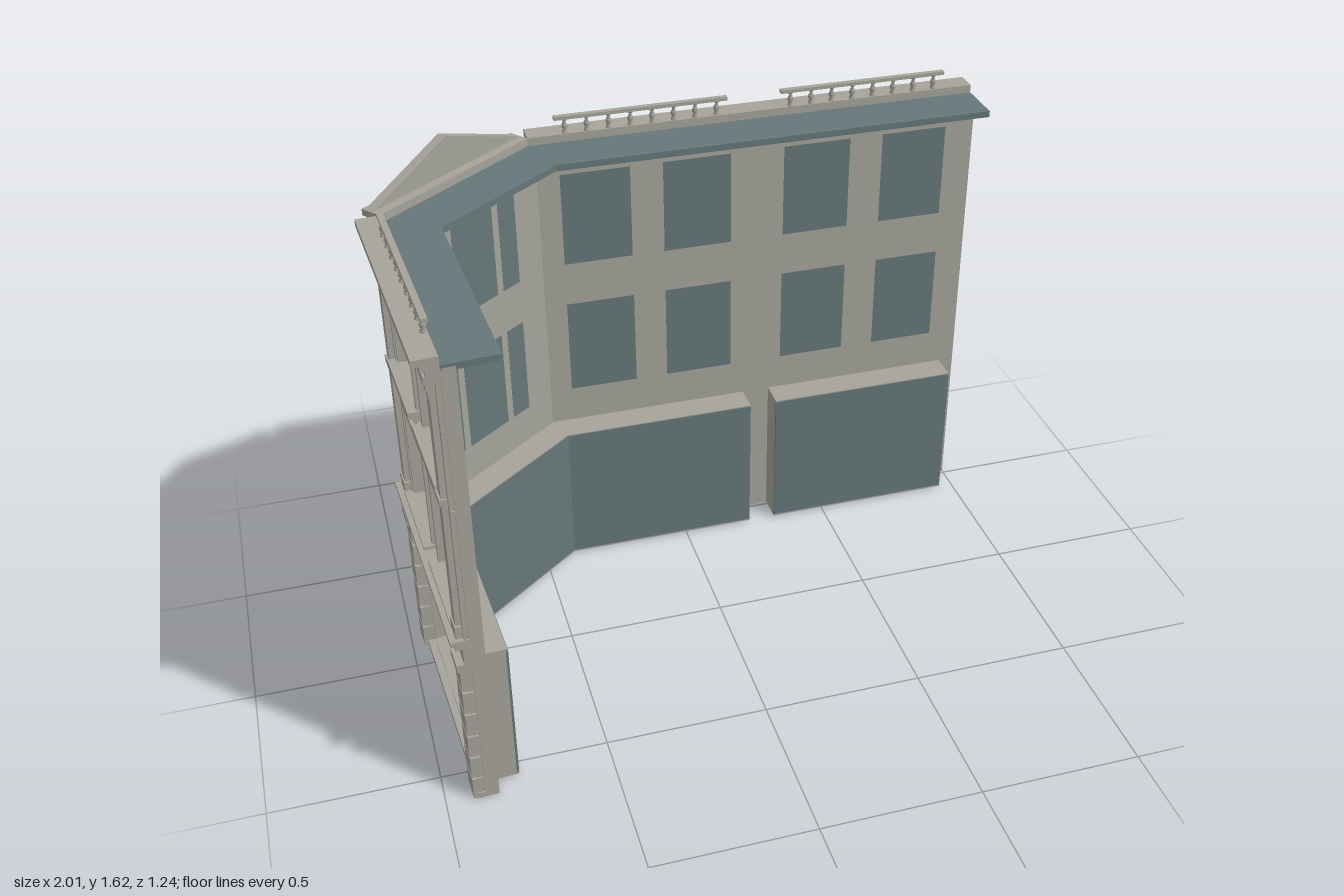
import * as THREE from 'three';

const mat = (name, color) => {
  const m = new THREE.MeshStandardMaterial({ color });
  m.name = name;
  return m;
};

export function createModel() {
  const stone = mat('stone', 0xa5a39a);
  const glass = mat('slate glass', 0x667779);
  const frame = mat('dark window frame', 0x3c4b4e);
  const model = new THREE.Group();
  model.name = 'cornerBuildingFacade';

  // Plan of the outer wall face, long wing to short wing
  const P = [[1, -0.55], [-0.444, -0.55], [-0.933, -0.168], [-0.885, 0.612]];

  const add = (parent, name, geo, m) => {
    const mesh = new THREE.Mesh(geo, m);
    mesh.name = name;
    parent.add(mesh);
    return mesh;
  };

  // Box in wall coordinates: u along, y up, d outward
  const box = (w, name, u0, u1, y0, y1, d0, d1, m = stone) =>
    add(w, name, new THREE.BoxGeometry(u1 - u0, y1 - y0, d1 - d0), m)
      .position.set((u0 + u1) / 2, (y0 + y1) / 2, (d0 + d1) / 2);

  // Mitred strip following a plan path between two offsets
  const offset = (pts, d) => {
    const n = pts.slice(1).map((p, i) => {
      const dx = p[0] - pts[i][0], dz = p[1] - pts[i][1], l = Math.hypot(dx, dz);
      return [-dz / l, dx / l];
    });
    return pts.map((p, i) => {
      const a = n[Math.max(i - 1, 0)], b = n[Math.min(i, n.length - 1)];
      const k = d / (1 + a[0] * b[0] + a[1] * b[1]);
      return new THREE.Vector2(p[0] + (a[0] + b[0]) * k, p[1] + (a[1] + b[1]) * k);
    });
  };
  const strip = (name, pts, y0, y1, d0, d1, m) => {
    const shape = new THREE.Shape([...offset(pts, d0), ...offset(pts, d1).reverse()]);
    const geo = new THREE.ExtrudeGeometry(shape, { depth: y1 - y0, bevelEnabled: false });
    geo.rotateX(Math.PI / 2).translate(0, y1, 0);
    add(model, name, geo, m);
  };

  const rect = (T, u0, u1, y0, y1) => new T([
    new THREE.Vector2(u0, y0), new THREE.Vector2(u1, y0),
    new THREE.Vector2(u1, y1), new THREE.Vector2(u0, y1)]);

  // Glazing bars with a border
  const bars = (w, u0, u1, y0, y1, d, cols, rows, t) => {
    for (let i = 0; i <= cols; i++) {
      const u = u0 + t / 2 + (u1 - u0 - t) * i / cols;
      box(w, 'glazingBar', u - t / 2, u + t / 2, y0, y1, d, d + 0.009, frame);
    }
    for (let j = 0; j <= rows; j++) {
      const y = y0 + t / 2 + (y1 - y0 - t) * j / rows;
      box(w, 'glazingBar', u0, u1, y - t / 2, y + t / 2, d, d + 0.008, frame);
    }
  };

  const floors = [[0.61, 0.93], [1.075, 1.385]];
  const shopY = [0.025, 0.475];

  // Ground-floor pier of stacked blocks, with a pilaster above it
  const pier = (w, c, width) => {
    const h = width / 2;
    box(w, 'pierCore', c - h + 0.006, c + h - 0.006, 0, 0.49, 0, 0.02);
    for (let i = 0; i < 6; i++)
      box(w, 'pierBlock', c - h, c + h, i * 0.083, i * 0.083 + 0.074, 0, 0.034);
    box(w, 'pierCapital', c - h - 0.004, c + h + 0.004, 0.49, 0.515, 0, 0.042);
    box(w, 'pilasterBack', c - h, c + h, 0.6, 1.44, 0, 0.014);
    box(w, 'pilasterBase', c - h * 0.75, c + h * 0.75, 0.6, 0.64, 0, 0.034);
    box(w, 'pilasterShaft', c - h * 0.55, c + h * 0.55, 0.64, 1.38, 0, 0.03);
    box(w, 'pilasterBand', c - h * 0.7, c + h * 0.7, 1.045, 1.065, 0, 0.036);
    [0, 1, 2].forEach(i => box(w, 'pilasterCapital', c - h * (0.62 + i * 0.14), c + h * (0.62 + i * 0.14),
      1.375 + i * 0.023, 1.398 + i * 0.023, 0, 0.033 + i * 0.005));
  };

  // Gable: moulded border around a sunken panel
  const triangle = (w, name, u0, u1, y0, y1, d0, d1) => {
    const c = (u0 + u1) / 2, k = 0.8, yb = y0 + (y1 - y0) * 0.09;
    const outline = () => new THREE.Shape([new THREE.Vector2(u0, y0), new THREE.Vector2(u1, y0),
      new THREE.Vector2(c, y1)]);
    const border = outline();
    border.holes.push(new THREE.Path([new THREE.Vector2(c + (u0 - c) * k, yb),
      new THREE.Vector2(c, yb + (y1 - y0) * k), new THREE.Vector2(c + (u1 - c) * k, yb)]));
    const mid = d0 + (d1 - d0) * 0.5;
    [['Panel', outline(), d0, mid], ['Moulding', border, mid, d1]].forEach(([n, s, a, b]) =>
      add(w, name + n, new THREE.ExtrudeGeometry(s, { depth: b - a, bevelEnabled: false }), stone)
        .position.z = a);
  };

  const balusterGeo = new THREE.LatheGeometry([[0.009, 0], [0.009, 0.006], [0.005, 0.01], [0.010, 0.02],
    [0.008, 0.028], [0.004, 0.036], [0.008, 0.042], [0.008, 0.046]].map(p => new THREE.Vector2(...p)), 10);
  const balustrade = (w, u0, u1, count) => {
    box(w, 'balustradeRail', u0, u1, 1.545, 1.556, 0.002, 0.02);
    for (let i = 0; i < count; i++)
      add(w, 'baluster', balusterGeo, stone)
        .position.set(u0 + 0.033 + (u1 - u0 - 0.066) * i / (count - 1), 1.5, 0.011);
  };

  // One complete wall
  const buildWall = (name, a, b, o) => {
    const w = new THREE.Group();
    w.name = name;
    const dx = b[0] - a[0], dz = b[1] - a[1], L = Math.hypot(dx, dz);
    w.position.set(a[0], 0, a[1]);
    w.rotation.y = Math.atan2(-dz, dx);
    model.add(w);

    const shape = rect(THREE.Shape, 0, L, 0, 1.465);
    o.shops.forEach(([u0, u1]) => shape.holes.push(rect(THREE.Path, u0, u1, ...shopY)));
    floors.forEach(f => o.windows.forEach(([u0, u1]) => shape.holes.push(rect(THREE.Path, u0, u1, ...f))));
    add(w, 'wall', new THREE.ExtrudeGeometry(shape, { depth: 0.04, bevelEnabled: false }), stone)
      .position.z = -0.04;

    o.shops.forEach(([u0, u1]) => {
      bars(w, u0 - 0.01, u1 + 0.01, 0.022, 0.482, o.shopDepth, o.shopCols, 2, 0.011);
      box(w, 'shopLintel', u0, u1, 0.475, 0.49, 0, 0.014);
    });
    floors.forEach(([y0, y1], f) => {
      o.windows.forEach(([u0, u1]) => {
        box(w, 'windowPane', u0, u1, y0, y1, -0.0405, -0.032, glass);
        bars(w, u0, u1, y0, y1, -0.032, u1 - u0 > 0.1 ? 2 : 1, 2, 0.009);
        if (o.triple) return;
        [[u0 - 0.018, u0], [u1, u1 + 0.018]].forEach(s => box(w, 'windowSurround', ...s, y0, y1, 0, 0.01));
        box(w, 'windowHead', u0 - 0.018, u1 + 0.018, y1, y1 + 0.02, 0, 0.014);
        box(w, 'windowSill', u0 - 0.025, u1 + 0.025, y0 - 0.022, y0, 0, 0.036);
        box(w, 'sillApron', u0 - 0.012, u1 + 0.012, y0 - 0.042, y0 - 0.022, 0, 0.02);
      });
      // Triple window: columns, sill, head and a small gable over the lower one
      if (o.triple) {
        [0.112, 0.209, 0.409, 0.506].forEach(u => {
          box(w, 'windowColumn', u - 0.009, u + 0.009, y0, y1, 0, 0.016);
          box(w, 'columnCapital', u - 0.012, u + 0.012, y1 - 0.018, y1, 0, 0.022);
        });
        box(w, 'windowSill', 0.09, 0.528, y0 - 0.022, y0, 0, 0.036);
        box(w, 'windowHead', 0.095, 0.523, y1, y1 + 0.02, 0, 0.024);
        if (f === 0) triangle(w, 'windowGable', 0.11, 0.508, y1 + 0.02, y1 + 0.085, 0, 0.03);
      }
    });
    o.piers.forEach(c => pier(w, c, o.pierWidth));

    // Horizontal mouldings
    [['plinth', 0, 0.02, 0.022], ['frieze', 0.515, 0.57, 0.02], ['middleCornice', 0.57, 0.585, 0.04],
      ['middleCorniceTop', 0.585, 0.6, 0.052], ['floorBand', 1.02, 1.034, 0.012],
      ['upperFrieze', 1.44, 1.462, 0.036], ['corniceStep', 1.462, 1.48, 0.05], ['cornice', 1.48, 1.5, 0.069]]
      .forEach(([n, y0, y1, d]) => box(w, n, 0, L, y0, y1, 0, d));
    o.rails.forEach(r => balustrade(w, ...r));
    return w;
  };

  const longWall = buildWall('longWing', P[0], P[1], {
    shops: [[0.075, 0.665], [0.785, 1.36]], shopCols: 3, shopDepth: -0.124,
    windows: [[0.095, 0.31], [0.42, 0.64], [0.815, 1.035], [1.14, 1.36]],
    piers: [0.038, 0.725, 1.402], pierWidth: 0.076, rails: [[0.095, 0.64, 8], [0.815, 1.36, 8]],
  });
  const cornerWall = buildWall('cornerBay', P[1], P[2], {
    shops: [[0.085, 0.533]], shopCols: 2, shopDepth: -0.124, triple: true,
    windows: [[0.122, 0.196], [0.222, 0.396], [0.422, 0.496]],
    piers: [0.042, 0.576], pierWidth: 0.078, rails: [],
  });
  const shortWall = buildWall('shortWing', P[2], P[3], {
    shops: [[0.085, 0.705]], shopCols: 3, shopDepth: -0.104,
    windows: [[0.09, 0.335], [0.44, 0.69]],
    piers: [0.042, 0.74], pierWidth: 0.076, rails: [[0.09, 0.69, 9]],
  });
  triangle(cornerWall, 'roofGable', 0.005, 0.613, 1.5, 1.615, 0.03, 0.06);

  // Inner roof ledge
  strip('roofLedge', P, 1.455, 1.475, -0.155, 0, glass);

  // Shop bays projecting inwards, shallower along the short wing
  const bayCorner = [-0.952, -0.153], bayEnd = [-0.908, 0.562];
  [[[0.95, -0.55], [0.32, -0.55]], [[0.23, -0.55], P[1], bayCorner, bayEnd]].forEach(path => {
    strip('shopBayTop', path, 0.48, 0.49, -0.13, -0.024, stone);
    strip('shopBayFloor', path, 0.005, 0.02, -0.13, -0.024, stone);
    strip('shopGlass', path, 0.012, 0.487, -0.132, -0.125, glass);
  });
  [[longWall, 0.05, -0.131], [longWall, 0.672, -0.131], [longWall, 0.77, -0.131], [shortWall, 0.722, -0.111]]
    .forEach(([w, u, d]) => box(w, 'shopBaySide', u, u + 0.008, 0.005, 0.49, d, -0.02));

  return model;
}
